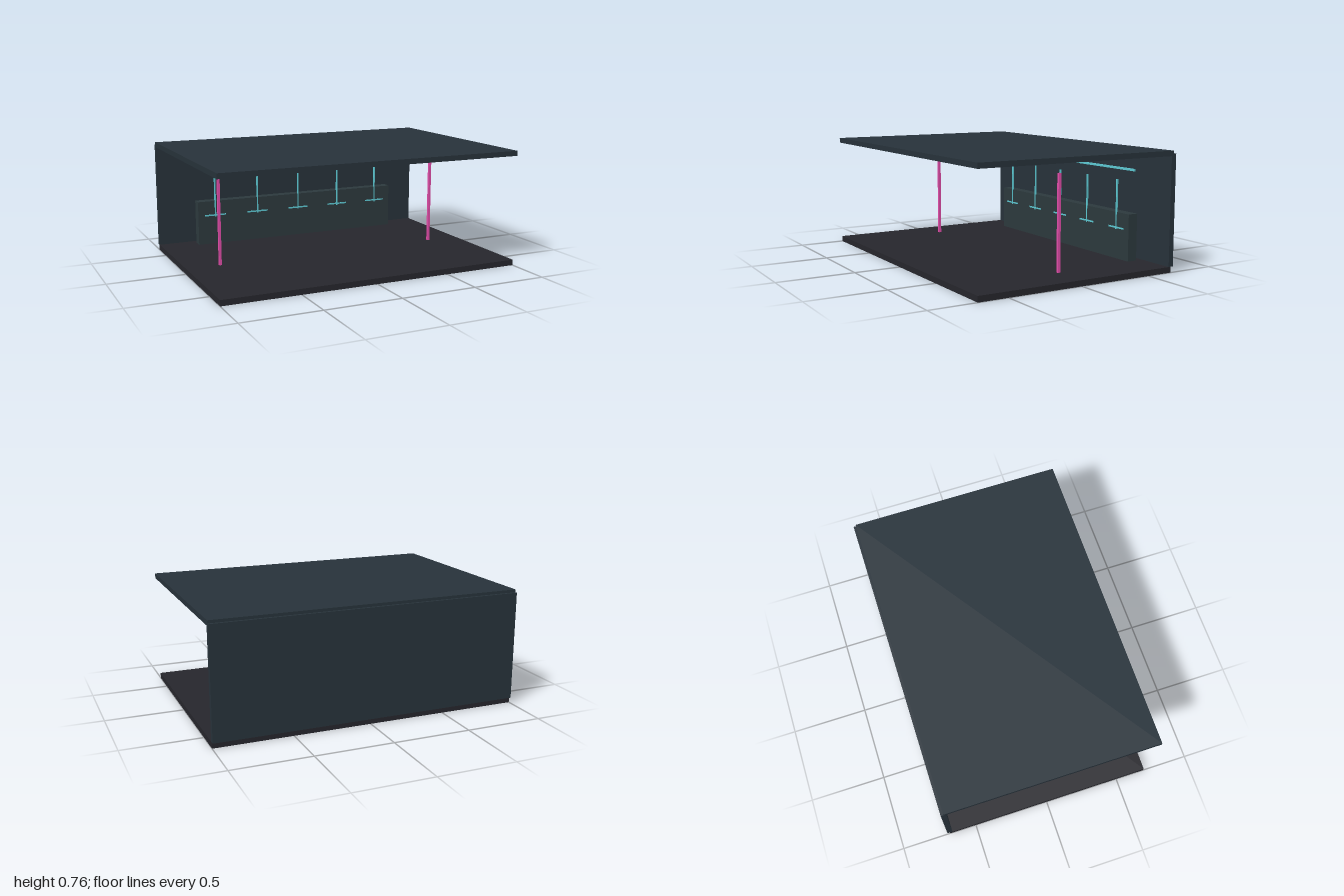
import * as THREE from 'three';

const material = (color) => new THREE.MeshStandardMaterial({ color });

export function createModel() {
  const model = new THREE.Group();
  model.name = 'openPavilion';

  const roofMat = material(0x27323a);
  const floorMat = material(0x26262c);
  const wallMat = material(0x27323a);
  const counterMat = material(0x2c393d);
  const pinkMat = material(0xe04ca8);
  const cyanMat = material(0x5cc8d2);

  // Box given by its [min, max] extent along each axis
  function block(name, [x0, x1], [y0, y1], [z0, z1], mat, parent = model) {
    const mesh = new THREE.Mesh(new THREE.BoxGeometry(x1 - x0, y1 - y0, z1 - z0), mat);
    mesh.position.set((x0 + x1) / 2, (y0 + y1) / 2, (z0 + z1) / 2);
    mesh.name = name;
    parent.add(mesh);
    return mesh;
  }
  const around = (c, size) => [c - size / 2, c + size / 2];

  // Shell: floor, roof and back wall
  block('floor', [-1, 1], [0, 0.037], [-0.679, 0.696], floorMat);
  block('roof', [-1, 1], [0.724, 0.757], [-0.679, 0.696], roofMat);
  block('backWall', [-1, 1], [0.037, 0.739], [-0.696, -0.662], wallMat);

  // Low counter in front of the back wall
  block('counter', [-0.75, 0.75], [0.037, 0.34], [-0.613, -0.545], counterMat);

  // Slim posts at both sides
  for (const [name, x] of [['rightPost', -0.776], ['leftPost', 0.772]]) {
    block(name, around(x, 0.016), [0.037, 0.639], around(0.008, 0.018), pinkMat);
  }

  // Light rail high on the wall
  block('lightRail', [-0.688, 0.684], around(0.609, 0.014), around(-0.641, 0.014), cyanMat);

  // Row of hanging rods, each with a short crossbar
  for (let i = -2; i <= 2; i++) {
    const rod = new THREE.Group();
    rod.name = 'hangingRod';
    rod.position.x = i * 0.313;
    block('rod', around(0, 0.009), [0.228, 0.552], around(-0.547, 0.01), cyanMat, rod);
    block('crossbar', around(0, 0.15), around(0.24, 0.01), around(-0.547, 0.01), cyanMat, rod);
    model.add(rod);
  }

  return model;
}
